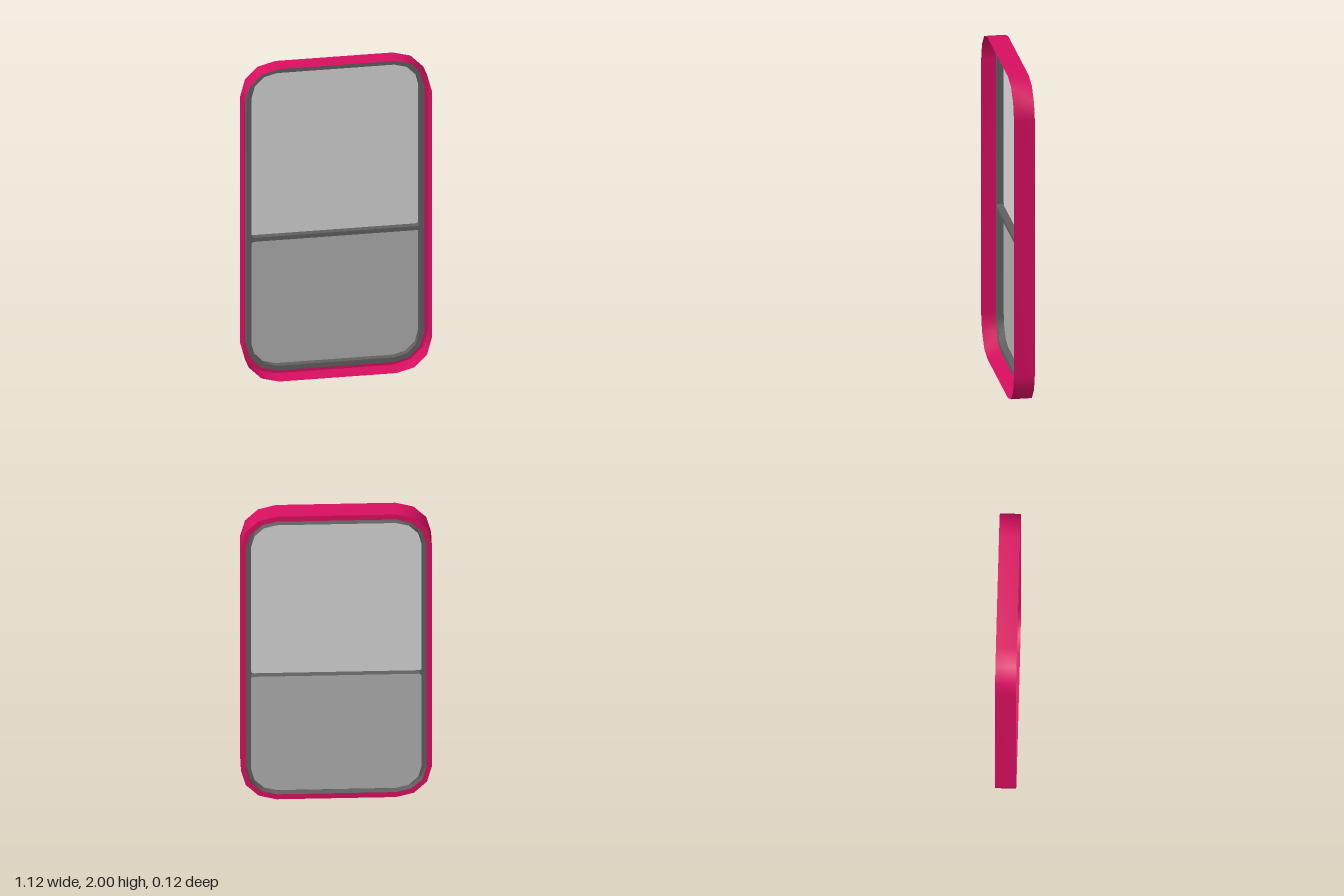
import * as THREE from 'three';

const BACK = -0.062, FRONT = 0.062, TRIM = -0.02;

function material(name, color) {
  const m = new THREE.MeshStandardMaterial({ color, side: THREE.DoubleSide });
  m.name = name;
  return m;
}

// Counter-clockwise rectangle with three-sided rounded corners
function outline(halfWidth, y0, y1, rBottom, rTop) {
  const corners = [
    [1, y0, rBottom, -90], [1, y1, rTop, 0],
    [-1, y1, rTop, 90], [-1, y0, rBottom, 180],
  ];
  const points = [];
  for (const [side, y, r, start] of corners) {
    const cx = side * (halfWidth - r);
    const cy = y === y0 ? y + r : y - r;
    for (let i = 0; i <= 3; i++) {
      const a = THREE.MathUtils.degToRad(start + i * 30);
      points.push(new THREE.Vector2(cx + r * Math.cos(a), cy + r * Math.sin(a)));
    }
  }
  return points;
}

// Smooth open band that follows an outline between two depths
function wall(points, z0, z1) {
  const positions = [], index = [], n = points.length;
  points.forEach((p, i) => {
    positions.push(p.x, p.y, z0, p.x, p.y, z1);
    const a = 2 * i, b = 2 * ((i + 1) % n);
    index.push(a, b, b + 1, a, b + 1, a + 1);
  });
  const g = new THREE.BufferGeometry();
  g.setAttribute('position', new THREE.Float32BufferAttribute(positions, 3));
  g.setIndex(index);
  g.computeVertexNormals();
  return g;
}

// Flat sheet with optional openings
function sheet(points, z, holes = []) {
  const shape = new THREE.Shape(points);
  shape.holes = holes.map((h) => new THREE.Path(h));
  return new THREE.ShapeGeometry(shape).translate(0, 0, z);
}

export function createModel() {
  const model = new THREE.Group();
  model.name = 'window';
  const red = material('frame crimson', 0xd80f60);
  const grey = material('trim dark grey', 0x606060);
  const pale = material('upper pane light grey', 0xd6d6d6);
  const mid = material('lower pane grey', 0xb0b0b0);

  const add = (name, geometry, mat) => {
    const mesh = new THREE.Mesh(geometry, mat);
    mesh.name = name;
    model.add(mesh);
  };

  const outer = outline(0.56, 0, 2, 0.21, 0.21);
  const inner = outline(0.53, 0.035, 1.965, 0.18, 0.18);
  const upper = outline(0.5, 0.895, 1.94, 0.015, 0.15);
  const lower = outline(0.5, 0.065, 0.87, 0.15, 0.015);

  // Open surround with a narrow rim at the back
  add('frameWall', wall(outer, BACK, FRONT), red);
  add('frameRim', sheet(outer, BACK, [inner]), red);

  // Raised trim and crossbar, hollow from behind
  add('trimFace', sheet(inner, TRIM, [upper, lower]), grey);
  add('trimOuterWall', wall(inner, BACK, TRIM), grey);
  add('upperTrimWall', wall(upper, BACK, TRIM), grey);
  add('lowerTrimWall', wall(lower, BACK, TRIM), grey);

  // Panes
  add('upperPane', sheet(upper, BACK), pale);
  add('lowerPane', sheet(lower, BACK), mid);

  return model;
}
